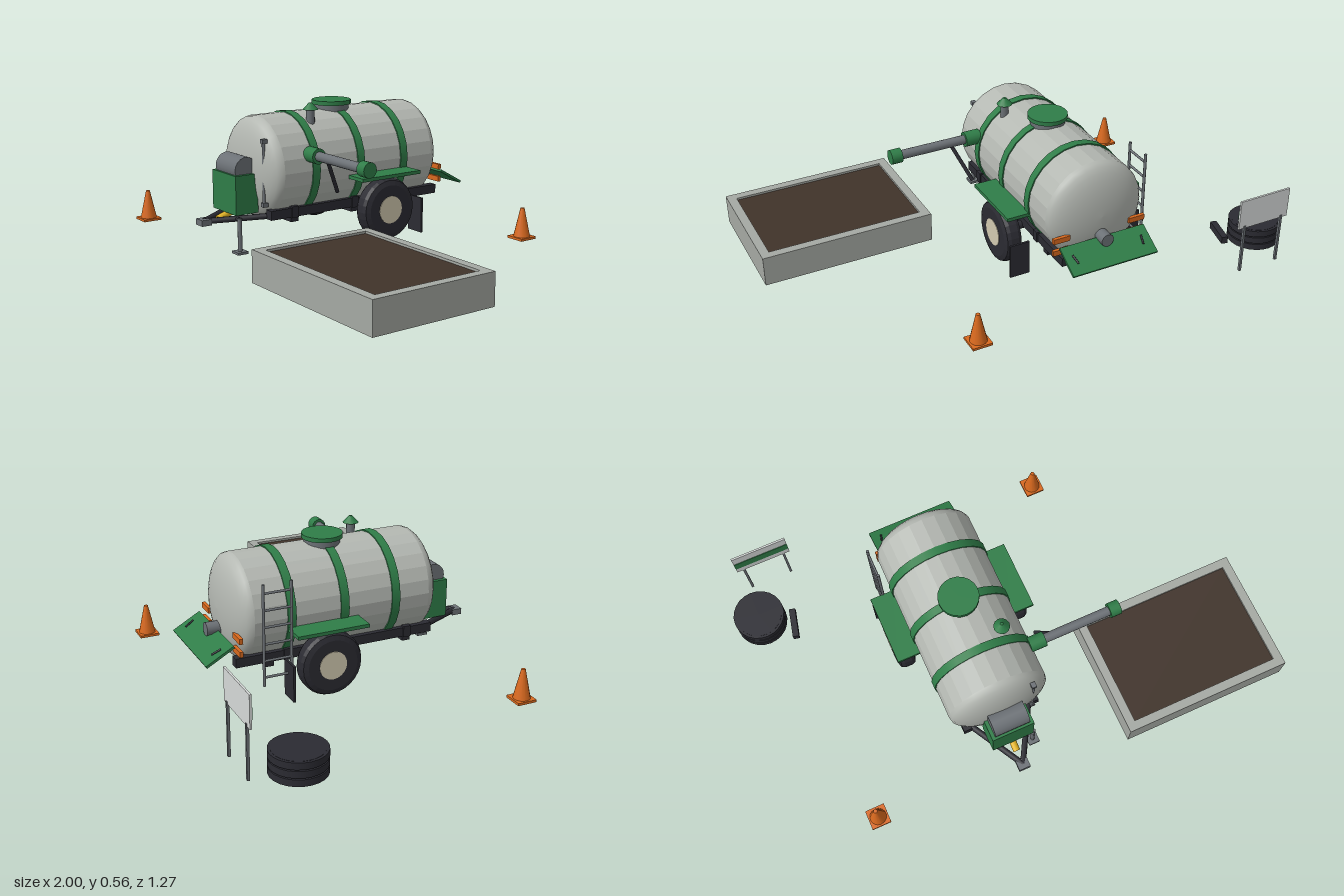
import * as THREE from 'three';

const mat = (name, color, side = THREE.FrontSide) => {
  const m = new THREE.MeshStandardMaterial({ color, side });
  m.name = name;
  return m;
};

export function createModel() {
  const steel = mat('tank grey', 0xb4b8b2);
  const concrete = mat('concrete', 0xa5a9a3);
  const white = mat('board white', 0xd6d9d8);
  const green = mat('green', 0x2f7d48);
  const orange = mat('orange', 0xd9691e);
  const dark = mat('rubber black', 0x2b2b32);
  const metal = mat('dull metal', 0x6c7176);
  const soil = mat('slurry brown', 0x40332a);
  const cream = mat('hub cream', 0xd2cab0);
  const yellow = mat('yellow', 0xe2b422);

  const model = new THREE.Group();
  model.name = 'slurryTankerYard';
  const tanker = new THREE.Group();
  tanker.name = 'tanker';
  tanker.position.x = -0.158; // tanker parts are placed about its own centre line
  model.add(tanker);

  const add = (parent, name, geo, material, x = 0, y = 0, z = 0) => {
    const m = new THREE.Mesh(geo, material);
    m.name = name;
    m.position.set(x, y, z);
    parent.add(m);
    return m;
  };
  const box = (parent, name, material, w, h, d, x, y, z) =>
    add(parent, name, new THREE.BoxGeometry(w, h, d), material, x, y, z);
  const cyl = (parent, name, material, r1, r2, h, x, y, z, axis = 'y', sides = 20) => {
    const g = new THREE.CylinderGeometry(r1, r2, h, sides);
    if (axis === 'x') g.rotateZ(-Math.PI / 2);
    if (axis === 'z') g.rotateX(Math.PI / 2);
    return add(parent, name, g, material, x, y, z);
  };
  // Round or square bar between two points
  const rod = (parent, name, material, a, b, r, sides = 8) => {
    const p = new THREE.Vector3(...a), q = new THREE.Vector3(...b);
    const d = q.clone().sub(p);
    const m = add(parent, name, new THREE.CylinderGeometry(r, r, d.length(), sides), material);
    m.position.copy(p).add(q).multiplyScalar(0.5);
    m.quaternion.setFromUnitVectors(new THREE.Vector3(0, 1, 0), d.normalize());
    return m;
  };

  // Tank: faceted barrel with smooth dished ends
  const TY = 0.313, R = 0.205, SIDES = 24;
  const z0 = -0.393, z1 = 0.33, depth = 0.074;
  const barrel = new THREE.CylinderGeometry(R, R, z1 - z0, SIDES, 1, true).toNonIndexed();
  barrel.computeVertexNormals();
  barrel.rotateX(Math.PI / 2);
  add(tanker, 'tankBarrel', barrel, steel, 0, TY, (z0 + z1) / 2);
  const domePoints = [];
  for (let i = 0; i <= 8; i++) {
    const a = (i / 8) * Math.PI / 2;
    domePoints.push(new THREE.Vector2(i === 8 ? 0 : R * Math.cos(a), depth * Math.sin(a)));
  }
  const dome = new THREE.LatheGeometry(domePoints, SIDES).rotateX(Math.PI / 2);
  add(tanker, 'frontDome', dome, steel, 0, TY, z1);
  add(tanker, 'rearDome', dome, steel, 0, TY, z0).rotation.y = Math.PI;
  for (const z of [0.186, -0.03, -0.247])
    cyl(tanker, 'tankBand', green, R + 0.005, R + 0.005, 0.034, 0, TY, z, 'z', SIDES);

  // Top hatch and vent
  cyl(tanker, 'hatchNeck', metal, 0.07, 0.07, 0.05, 0, 0.508, -0.03);
  cyl(tanker, 'hatchLid', green, 0.08, 0.08, 0.017, 0, 0.541, -0.03);
  cyl(tanker, 'ventPipe', metal, 0.017, 0.017, 0.06, 0.102, 0.508, 0.143, 'y', 12);
  cyl(tanker, 'ventCap', green, 0.006, 0.032, 0.027, 0.102, 0.549, 0.143, 'y', 12);

  // Side filling arm with brace
  cyl(tanker, 'armFlange', green, 0.031, 0.031, 0.065, 0.222, 0.378, 0.208, 'x', 16);
  cyl(tanker, 'armPipe', metal, 0.019, 0.019, 0.34, 0.39, 0.378, 0.208, 'x', 14);
  cyl(tanker, 'armMouth', green, 0.03, 0.03, 0.045, 0.556, 0.378, 0.208, 'x', 16);
  rod(tanker, 'armBrace', dark, [0.258, 0.23, 0.125], [0.313, 0.365, 0.207], 0.008);

  // Pump cabinet, blower and drive shaft
  box(tanker, 'pumpCabinet', green, 0.176, 0.155, 0.1, 0, 0.2275, 0.432);
  cyl(tanker, 'blower', metal, 0.05, 0.05, 0.146, 0, 0.322, 0.425, 'x', 18);
  rod(tanker, 'driveShaft', yellow, [0, 0.165, 0.4], [0, 0.125, 0.515], 0.014, 12);

  // Sight gauge
  rod(tanker, 'sightGauge', metal, [0.128, 0.19, 0.38], [0.128, 0.435, 0.38], 0.006);
  for (const y of [0.187, 0.437])
    box(tanker, 'gaugeFitting', metal, 0.02, 0.016, 0.022, 0.128, y, 0.378);

  // Chassis: side rails, crossmembers and drawbar
  for (const z of [0.26, -0.03, -0.32])
    box(tanker, 'crossMember', dark, 0.32, 0.03, 0.034, 0, 0.125, z);
  for (const s of [-1, 1]) {
    box(tanker, 'sideRail', dark, 0.035, 0.037, 0.825, s * 0.145, 0.148, -0.043);
    for (const z of [0.26, -0.03, -0.247])
      box(tanker, 'tankSaddle', dark, 0.04, 0.045, 0.03, s * 0.148, 0.15, z);
    rod(tanker, 'drawbar', dark, [s * 0.145, 0.142, 0.32], [0, 0.125, 0.575], 0.012);
  }
  box(tanker, 'hitch', metal, 0.048, 0.024, 0.042, 0, 0.123, 0.575);
  rod(tanker, 'parkingLeg', metal, [0.093, 0.01, 0.47], [0.093, 0.14, 0.47], 0.009);
  box(tanker, 'parkingFoot', metal, 0.046, 0.01, 0.046, 0.093, 0.005, 0.47);
  rod(tanker, 'legBracket', dark, [0.093, 0.135, 0.47], [0.06, 0.132, 0.465], 0.009);

  // Axle, wheels, fenders and mudflaps
  cyl(tanker, 'axle', dark, 0.018, 0.018, 0.5, 0, 0.128, -0.117, 'x', 12);
  const tyreProfile = [[0, -0.037], [0.1, -0.037], [0.119, -0.03], [0.126, -0.016],
    [0.126, 0.016], [0.119, 0.03], [0.1, 0.037], [0, 0.037]].map(p => new THREE.Vector2(...p));
  const tyre = new THREE.LatheGeometry(tyreProfile, 28).toNonIndexed();
  tyre.computeVertexNormals();
  tyre.rotateZ(Math.PI / 2);
  for (const s of [-1, 1]) {
    add(tanker, 'tyre', tyre, dark, s * 0.25, 0.128, -0.117);
    cyl(tanker, 'wheelHub', cream, 0.056, 0.056, 0.078, s * 0.25, 0.128, -0.117, 'x');
    box(tanker, 'fender', green, 0.095, 0.014, 0.29, s * 0.248, 0.266, -0.117);
    box(tanker, 'mudflap', dark, 0.083, 0.145, 0.009, s * 0.25, 0.083, -0.276);
  }

  // Ladder
  for (const z of [-0.265, -0.375])
    rod(tanker, 'ladderRail', metal, [-0.24, 0.075, z], [-0.24, 0.475, z], 0.006);
  for (let i = 0; i < 6; i++)
    rod(tanker, 'ladderRung', metal, [-0.24, 0.11 + i * 0.066, -0.265], [-0.24, 0.11 + i * 0.066, -0.375], 0.005);

  // Rear outlet, splash plate and lights
  cyl(tanker, 'rearOutlet', metal, 0.026, 0.026, 0.07, 0, 0.234, -0.478, 'z', 14);
  const splash = new THREE.Group();
  splash.name = 'splashPlate';
  splash.position.set(0, 0.196, -0.523);
  splash.rotation.x = -0.51;
  tanker.add(splash);
  box(splash, 'plate', green, 0.368, 0.01, 0.126, 0, 0, 0);
  for (const s of [-1, 1]) {
    rod(splash, 'plateRib', dark, [s * 0.15, 0.007, 0.02], [s * 0.142, 0.007, -0.018], 0.004);
    for (const y of [0.249, 0.197])
      box(tanker, 'rearLight', orange, 0.07, 0.022, 0.014, s * 0.164, y, -0.446);
  }

  // Slurry pit: walled basin with filled surface
  const pit = new THREE.Group();
  pit.name = 'slurryPit';
  pit.position.set(0.643, 0, 0.378);
  model.add(pit);
  const W = 0.706, D = 0.514, H = 0.124, T = 0.036;
  for (const s of [-1, 1]) {
    box(pit, 'longWall', concrete, W, H, T, 0, H / 2, s * (D - T) / 2);
    box(pit, 'shortWall', concrete, T, H, D - 2 * T, s * (W - T) / 2, H / 2, 0);
  }
  box(pit, 'pitFloor', concrete, W - 2 * T, 0.02, D - 2 * T, 0, 0.01, 0);
  box(pit, 'slurry', soil, W - 2 * T, 0.01, D - 2 * T, 0, 0.11, 0);

  // Stack of old tyres and a loose block
  for (let i = 0; i < 3; i++) {
    cyl(model, 'stackedTyre', dark, 0.105, 0.105, 0.026, -0.895, 0.017 + i * 0.031, -0.462, 'y', 24);
    cyl(model, 'stackCore', dark, 0.095, 0.095, 0.031, -0.895, 0.0155 + i * 0.031, -0.462, 'y', 24);
  }
  box(model, 'looseBlock', dark, 0.026, 0.03, 0.125, -0.775, 0.017, -0.393).rotation.y = -0.23;

  // Notice board on two posts
  box(model, 'noticeBoard', white, 0.23, 0.125, 0.008, -0.79, 0.262, -0.632);
  box(model, 'boardStripe', green, 0.23, 0.043, 0.003, -0.79, 0.256, -0.627);
  for (const x of [-0.876, -0.702])
    box(model, 'boardPost', metal, 0.01, 0.21, 0.01, x, 0.105, -0.634);

  // Traffic cones
  for (const [x, z] of [[0.414, -0.57], [-0.763, 0.508]]) {
    box(model, 'coneBase', orange, 0.08, 0.01, 0.08, x, 0.005, z);
    cyl(model, 'coneBody', orange, 0.008, 0.034, 0.118, x, 0.068, z, 'y', 14);
  }
  return model;
}
